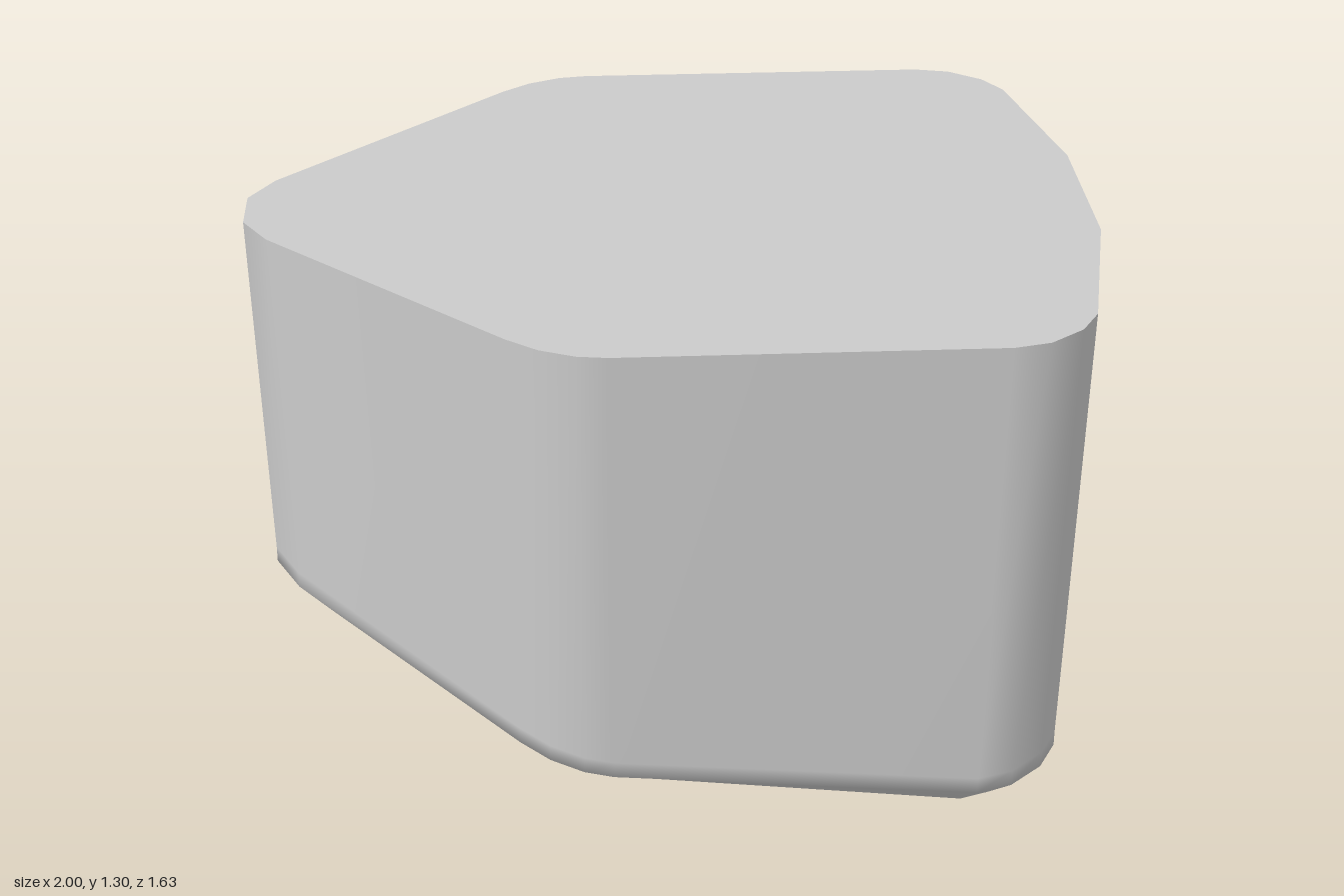
import * as THREE from 'three';

// Half outline from the blunt +x end round to the narrow -x tip:
// [top x, top z, floor x, floor z, height of the bevel above the tilted floor plane]
const HALF = [
  [1, 0.22, 0.83, 0.2, 0.18],
  [0.91, 0.66, 0.8, 0.52, 0.14],
  [0.865, 0.735, 0.78, 0.58, 0.13],
  [0.785, 0.795, 0.74, 0.63, 0.12],
  [0.7, 0.815, 0.67, 0.66, 0.115],
  [-0.17, 0.815, -0.16, 0.665, 0.1],
  [-0.24, 0.805, -0.21, 0.655, 0.1],
  [-0.32, 0.77, -0.27, 0.63, 0.1],
  [-0.39, 0.715, -0.32, 0.59, 0.1],
  [-0.94, 0.17, -0.845, 0.13, 0.09],
  [-1, 0.07, -0.87, 0.05, 0.09],
];
const TOP = 1.3;

// Floor tilts down towards +x and +z
const floorY = (x, z) => Math.max(0, 0.17 - 0.123 * x - 0.124 * z);

function geometry(points, index) {
  const g = new THREE.BufferGeometry();
  g.setAttribute('position', new THREE.Float32BufferAttribute(points.flat(), 3));
  g.setIndex(index);
  g.computeVertexNormals();
  return g;
}

// Smooth skin through a stack of closed rings, listed from low to high
function skin(rings) {
  const n = rings[0].length, index = [];
  for (let r = 0; r < rings.length - 1; r++) {
    for (let i = 0; i < n; i++) {
      const a = r * n + i, b = r * n + (i + 1) % n;
      index.push(a, a + n, b, b, a + n, b + n);
    }
  }
  return geometry(rings.flat(), index);
}

// Flat cap fanned from the middle of a ring
function cap(ring, up) {
  const n = ring.length, index = [];
  const middle = [0, 1, 2].map(k => ring.reduce((s, p) => s + p[k], 0) / n);
  for (let i = 0; i < n; i++) {
    const j = (i + 1) % n;
    index.push(n, up ? j : i, up ? i : j);
  }
  return geometry([...ring, middle], index);
}

export function createModel() {
  const group = new THREE.Group();
  group.name = 'taperedBlock';
  const material = new THREE.MeshStandardMaterial({ color: 0xcccccc });

  const mirrored = HALF.map(([x, z, fx, fz, h]) => [x, -z, fx, -fz, h]).reverse();
  const outline = [...HALF, ...mirrored];

  // Walls draw in slightly on the way down
  const wall = lift => outline.map(([x, z, , , h]) => {
    const wx = x * 0.98, wz = z * 0.967;
    return [wx, floorY(wx, wz) + h + lift, wz];
  });
  const top = outline.map(([x, z]) => [x, TOP, z]);
  const floor = outline.map(([, , x, z]) => [x, floorY(x, z), z]);

  const add = (name, g) => {
    const mesh = new THREE.Mesh(g, material);
    mesh.name = name;
    group.add(mesh);
  };
  add('wallsAndBevel', skin([floor, wall(0), wall(0.04), top]));
  add('topFace', cap(top, true));
  add('slopedFloor', cap(floor, false));
  return group;
}
